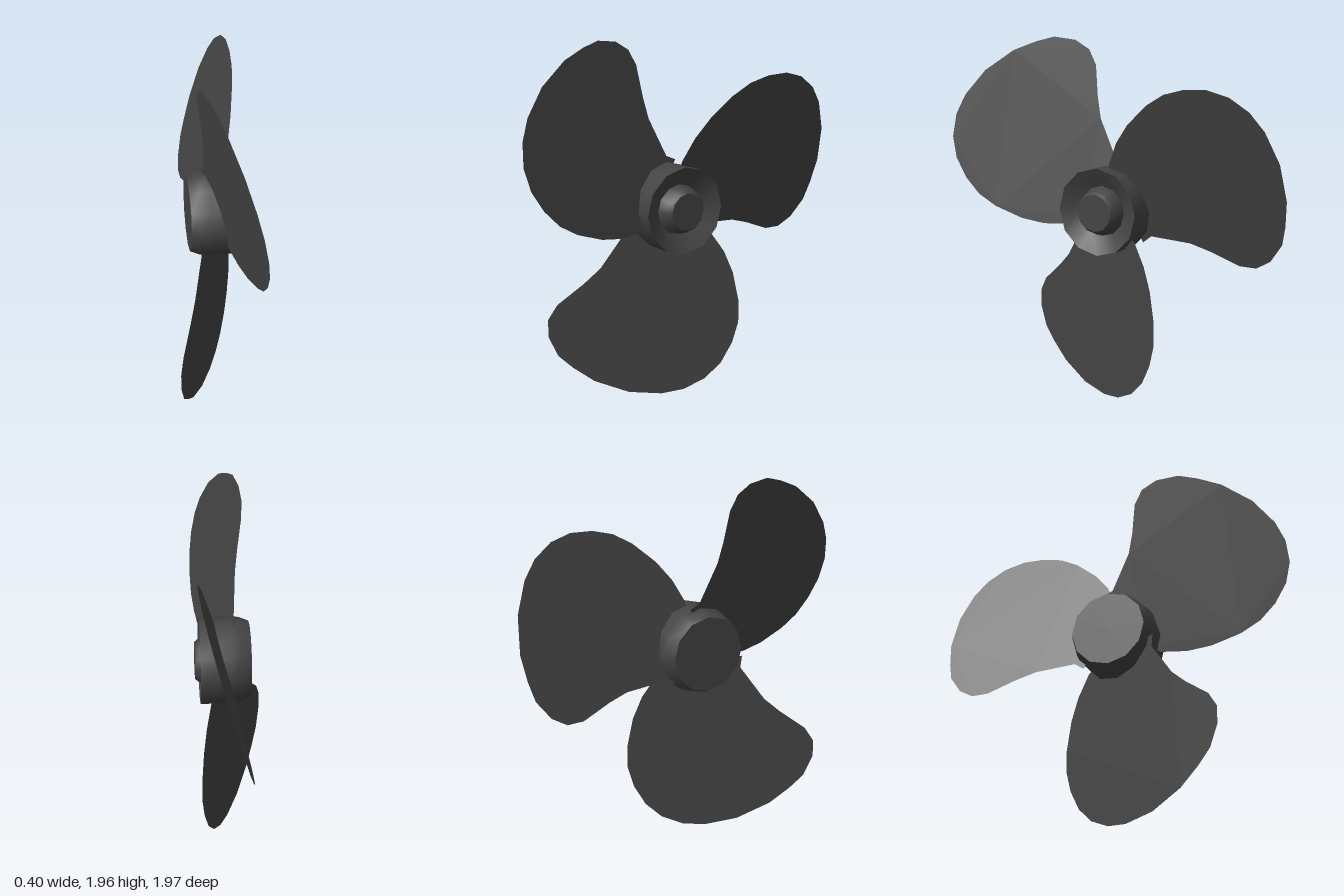
import * as THREE from 'three';
import { toCreasedNormals } from 'three/addons/utils/BufferGeometryUtils.js';

const CENTRE_Y = 1.066, CENTRE_Z = 0.059;

// Blade outline: [distance across the blade, distance out from the axle]
const OUTLINE = [
  [-0.24, 0.06], [-0.232, 0.128], [-0.36, 0.32], [-0.445, 0.4], [-0.579, 0.507],
  [-0.627, 0.587], [-0.627, 0.683], [-0.579, 0.795], [-0.504, 0.87], [-0.397, 0.955],
  [-0.221, 1.035], [-0.05, 1.06], [0.067, 1.045], [0.179, 0.992], [0.264, 0.907],
  [0.323, 0.795], [0.355, 0.677], [0.355, 0.555], [0.323, 0.39], [0.275, 0.267],
  [0.2, 0.15], [0.13, 0.11],
];

// Flat pitched blade: x = offset + pitch * across + rake * outward
function makeBlade(angle, offset, pitch, rake, material) {
  const shape = new THREE.Shape(OUTLINE.map(([t, r]) => new THREE.Vector2(t, r)));
  const geometry = new THREE.ShapeGeometry(shape);
  const pos = geometry.attributes.position;
  const c = Math.cos(angle), s = Math.sin(angle);
  for (let i = 0; i < pos.count; i++) {
    const t = pos.getX(i), r = pos.getY(i);
    pos.setXYZ(i, offset + pitch * t + rake * r, r * s + t * c, t * s - r * c);
  }
  geometry.computeVertexNormals();
  return new THREE.Mesh(geometry, material);
}

export function createModel() {
  const model = new THREE.Group();
  model.name = 'propeller';
  model.position.set(0, CENTRE_Y, CENTRE_Z);

  // Hub: closed back, rounded shoulder, dished front with a tapered boss
  const profile = [
    [0, -0.095], [0.207, -0.095], [0.227, -0.045], [0.235, 0.01], [0.235, 0.175],
    [0.135, 0.12], [0.116, 0.18], [0.1, 0.2], [0, 0.2],
  ].map(([r, x]) => new THREE.Vector2(r, x));
  const hubGeometry = new THREE.LatheGeometry(profile, 12).rotateZ(-Math.PI / 2);
  const hub = new THREE.Mesh(
    toCreasedNormals(hubGeometry, 0.6),
    new THREE.MeshStandardMaterial({ color: 0x444444 })
  );
  hub.name = 'hub';
  model.add(hub);

  // Three blades, 120 degrees apart
  const bladeMaterial = new THREE.MeshStandardMaterial({ color: 0x444444, side: THREE.DoubleSide });
  const blades = [
    ['lowerBlade', 270, 0.042, 0.39, 0],
    ['upperFrontBlade', 150, 0.035, 0.25, 0.1],
    ['upperRearBlade', 30, 0.035, 0.25, 0.1],
  ];
  for (const [name, degrees, offset, pitch, rake] of blades) {
    const blade = makeBlade(THREE.MathUtils.degToRad(degrees), offset, pitch, rake, bladeMaterial);
    blade.name = name;
    model.add(blade);
  }

  const root = new THREE.Group();
  root.add(model);
  return root;
}
